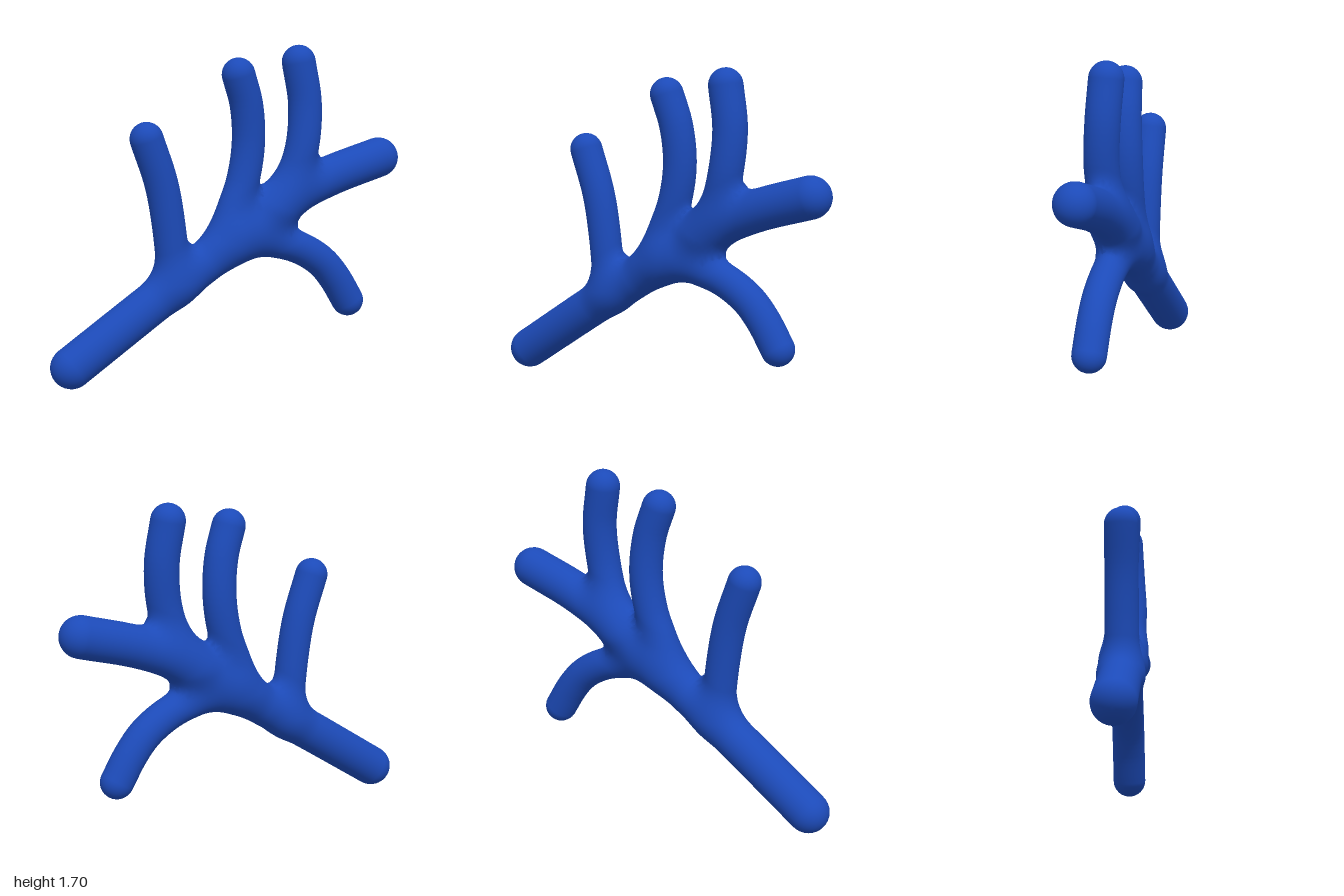
import * as THREE from 'three';

const V = (x, y, z = 0) => new THREE.Vector3(x, y, z);
const SIDES = 36, RINGS = 84, CAP = 8, BLEND = 0.1;

// Centre lines and thickness of the stem and its offshoots
const branches = [
  { name: 'mainStem', r: 0.108, points: [V(-0.89, 0.112, -0.015), V(-0.4, 0.43, -0.01), V(0, 0.68, -0.01), V(0.2, 0.81, -0.015), V(0.4, 0.92, -0.01), V(0.6, 1.0, 0), V(0.893, 1.083, 0.01)] },
  { name: 'lowerUprightBranch', r: 0.086, points: [V(-0.325, 0.5), V(-0.355, 0.8), V(-0.395, 1.02), V(-0.474, 1.252)] },
  { name: 'middleUprightBranch', r: 0.087, points: [V(-0.03, 0.68, -0.01), V(0.01, 0.82, -0.015), V(0.08, 1.0, -0.02), V(0.113, 1.2, -0.02), V(0.096, 1.4, -0.01), V(0.045, 1.56)] },
  { name: 'upperUprightBranch', r: 0.089, points: [V(0.28, 0.85), V(0.36, 1.0, 0.01), V(0.415, 1.18, 0.02), V(0.433, 1.4, 0.01), V(0.4, 1.615)] },
  { name: 'droopingBranch', r: 0.087, points: [V(0.06, 0.7), V(0.25, 0.67), V(0.4, 0.625), V(0.54, 0.54), V(0.63, 0.44), V(0.715, 0.305)] },
];
for (const b of branches) {
  b.curve = new THREE.CatmullRomCurve3(b.points);
  b.samples = b.curve.getSpacedPoints(28);
}

// Distance from a point to one rounded branch
function branchDistance(p, b) {
  let best = Infinity;
  for (let i = 0; i < b.samples.length - 1; i++) {
    const a = b.samples[i], c = b.samples[i + 1];
    const dx = c.x - a.x, dy = c.y - a.y, dz = c.z - a.z;
    const px = p.x - a.x, py = p.y - a.y, pz = p.z - a.z;
    const t = Math.min(1, Math.max(0, (px * dx + py * dy + pz * dz) / (dx * dx + dy * dy + dz * dz)));
    best = Math.min(best, (px - dx * t) ** 2 + (py - dy * t) ** 2 + (pz - dz * t) ** 2);
  }
  return Math.sqrt(best) - b.r;
}

// All branches merged, with soft fillets where they meet
function distance(p) {
  let d = Infinity;
  for (const b of branches) {
    const e = branchDistance(p, b);
    const h = Math.max(BLEND - Math.abs(d - e), 0) / BLEND;
    d = Math.min(d, e) - h * h * BLEND / 4;
  }
  return d;
}

function surfaceNormal(p) {
  const e = 0.004;
  const slope = (x, y, z) => distance(V(p.x + x, p.y + y, p.z + z)) - distance(V(p.x - x, p.y - y, p.z - z));
  return V(slope(e, 0, 0), slope(0, e, 0), slope(0, 0, e)).normalize();
}

// Tube whose wall is pushed out to the blended surface
function branchGeometry(b, capStart) {
  const positions = [], normals = [], index = [];
  const rings = [];
  if (capStart) for (let i = 0; i < CAP; i++) rings.push([0, -(1 - i / CAP) * Math.PI / 2]);
  for (let i = 0; i <= RINGS; i++) rings.push([i / RINGS, 0]);
  for (let i = 1; i <= CAP; i++) rings.push([1, i / CAP * Math.PI / 2]);

  rings.forEach(([u, tilt], i) => {
    const centre = b.curve.getPointAt(u), T = b.curve.getTangentAt(u);
    const N = V(0, 0, 1).addScaledVector(T, -T.z).normalize();
    const B = T.clone().cross(N);
    for (let j = 0; j <= SIDES; j++) {
      const a = j / SIDES * Math.PI * 2;
      const dir = N.clone().multiplyScalar(Math.cos(a)).addScaledVector(B, Math.sin(a))
        .multiplyScalar(Math.cos(tilt)).addScaledVector(T, Math.sin(tilt));
      let t = b.r * 0.8;
      for (let k = 0; k < 14; k++) {
        const d = distance(centre.clone().addScaledVector(dir, t));
        t = Math.min(t - d, b.r * 1.8);
        if (Math.abs(d) < 0.0004) break;
      }
      const p = centre.clone().addScaledVector(dir, t);
      positions.push(p.x, p.y, p.z);
      normals.push(...surfaceNormal(p).toArray());
      if (i < rings.length - 1 && j < SIDES) {
        const q = i * (SIDES + 1) + j, s = q + SIDES + 1;
        index.push(q, q + 1, s, q + 1, s + 1, s);
      }
    }
  });

  const g = new THREE.BufferGeometry();
  g.setAttribute('position', new THREE.Float32BufferAttribute(positions, 3));
  g.setAttribute('normal', new THREE.Float32BufferAttribute(normals, 3));
  g.setIndex(index);
  return g;
}

export function createModel() {
  const group = new THREE.Group();
  group.name = 'branchingCoral';
  const material = new THREE.MeshStandardMaterial({ color: 0x1c4ab8 });
  branches.forEach((b, i) => {
    const mesh = new THREE.Mesh(branchGeometry(b, i === 0), material);
    mesh.name = b.name;
    group.add(mesh);
  });
  return group;
}
